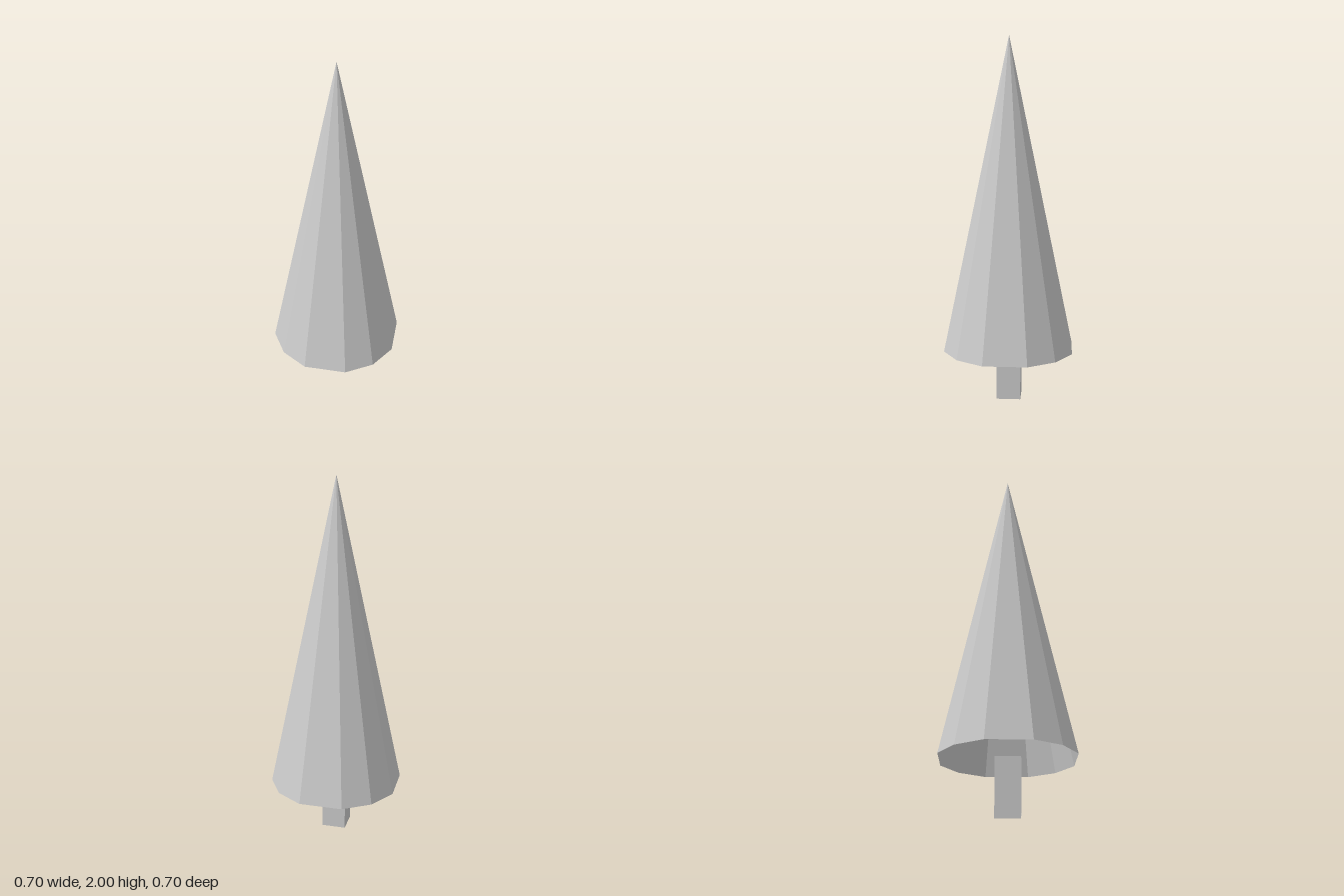
import * as THREE from 'three';

const BASE_Y = 0.285;
const material = new THREE.MeshStandardMaterial({
  color: 0xcccccc, flatShading: true, side: THREE.DoubleSide,
});

// Open twelve-sided cone; corners sit on the diagonals and 18.5 degrees off each axis
function coneGeometry(radius, bottom, top) {
  const ring = [];
  for (let quarter = 0; quarter < 4; quarter++) {
    for (const degrees of [18.5, 45, 71.5]) {
      const a = THREE.MathUtils.degToRad(quarter * 90 + degrees);
      ring.push([radius * Math.sin(a), bottom, radius * Math.cos(a)]);
    }
  }
  const positions = [];
  ring.forEach((corner, i) => {
    positions.push(0, top, 0, ...corner, ...ring[(i + 1) % ring.length]);
  });
  const geometry = new THREE.BufferGeometry();
  geometry.setAttribute('position', new THREE.Float32BufferAttribute(positions, 3));
  geometry.computeVertexNormals();
  return geometry;
}

export function createModel() {
  const group = new THREE.Group();
  group.name = 'tree';

  // Foliage, open underneath
  const foliage = new THREE.Mesh(coneGeometry(0.371, BASE_Y, 2), material);
  foliage.name = 'foliage';
  group.add(foliage);

  // Square trunk: four walls without caps, ending level with the foliage rim
  const half = 0.067;
  const trunkGeometry = new THREE.CylinderGeometry(
    half * Math.SQRT2, half * Math.SQRT2, BASE_Y, 4, 1, true, Math.PI / 4);
  const trunk = new THREE.Mesh(trunkGeometry, material);
  trunk.name = 'trunk';
  trunk.position.y = BASE_Y / 2;
  group.add(trunk);

  return group;
}
